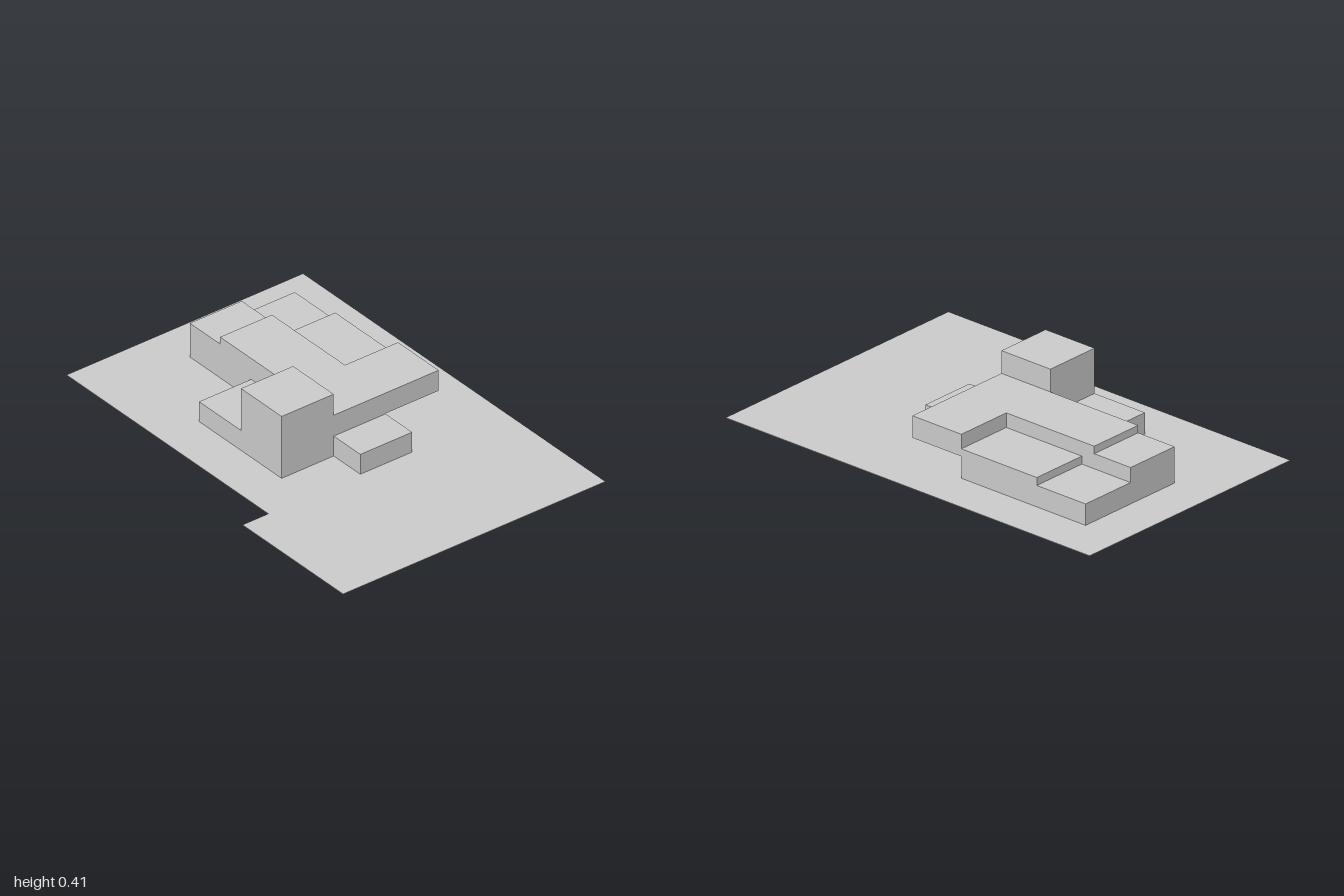
import * as THREE from 'three';

const material = new THREE.MeshStandardMaterial({ color: 0xcccccc, flatShading: true });
const SHEET_BOTTOM = 0.107;
const FLOOR = 0.11;

function outline(points) {
  return new THREE.Shape(points.map(([a, b]) => new THREE.Vector2(a, b)));
}

function addMesh(group, name, geometry) {
  const mesh = new THREE.Mesh(geometry, material);
  mesh.name = name;
  group.add(mesh);
}

// Extrudes a stepped (z, y) side profile across x from x0 to x1.
function addStrip(group, name, x0, x1, points) {
  const geometry = new THREE.ExtrudeGeometry(outline(points), { depth: x1 - x0, bevelEnabled: false });
  geometry.rotateY(-Math.PI / 2);
  geometry.translate(x1, 0, 0);
  addMesh(group, name, geometry);
}

export function createModel() {
  const model = new THREE.Group();
  model.name = 'steppedBuilding';

  // Thin ground sheet with one notched side, drawn as (x, -z)
  const sheet = new THREE.ExtrudeGeometry(outline([
    [-0.685, -1], [0.685, -1], [0.685, 1], [-0.55, 1], [-0.55, -0.335], [-0.685, -0.335],
  ]), { depth: FLOOR - SHEET_BOTTOM, bevelEnabled: false });
  sheet.rotateX(-Math.PI / 2);
  sheet.translate(0, SHEET_BOTTOM, 0);
  addMesh(model, 'groundSheet', sheet);

  // Basement below the sheet
  const basement = new THREE.BoxGeometry(0.82, SHEET_BOTTOM, 0.95);
  basement.translate(0.068, SHEET_BOTTOM / 2, -0.316);
  addMesh(model, 'basement', basement);

  // Tower with a low annex behind it
  addStrip(model, 'towerAndAnnex', -0.342, -0.07, [
    [0.159, FLOOR], [0.159, 0.412], [-0.11, 0.412], [-0.11, 0.207], [-0.387, 0.207], [-0.387, FLOOR],
  ]);

  // Central hall with front porch and lower rear section
  addStrip(model, 'centralHall', -0.07, 0.201, [
    [0.335, FLOOR], [0.335, 0.207], [0.159, 0.207], [0.159, 0.309],
    [-0.593, 0.309], [-0.593, 0.275], [-0.793, 0.275], [-0.793, FLOOR],
  ]);

  // Side wing whose front bay overhangs open ground
  addStrip(model, 'sideWing', 0.201, 0.478, [
    [0.159, 0.209], [0.159, 0.309], [-0.11, 0.309], [-0.11, 0.243], [-0.525, 0.243],
    [-0.525, 0.207], [-0.793, 0.207], [-0.793, FLOOR], [-0.11, FLOOR], [-0.11, 0.209],
  ]);

  return model;
}
